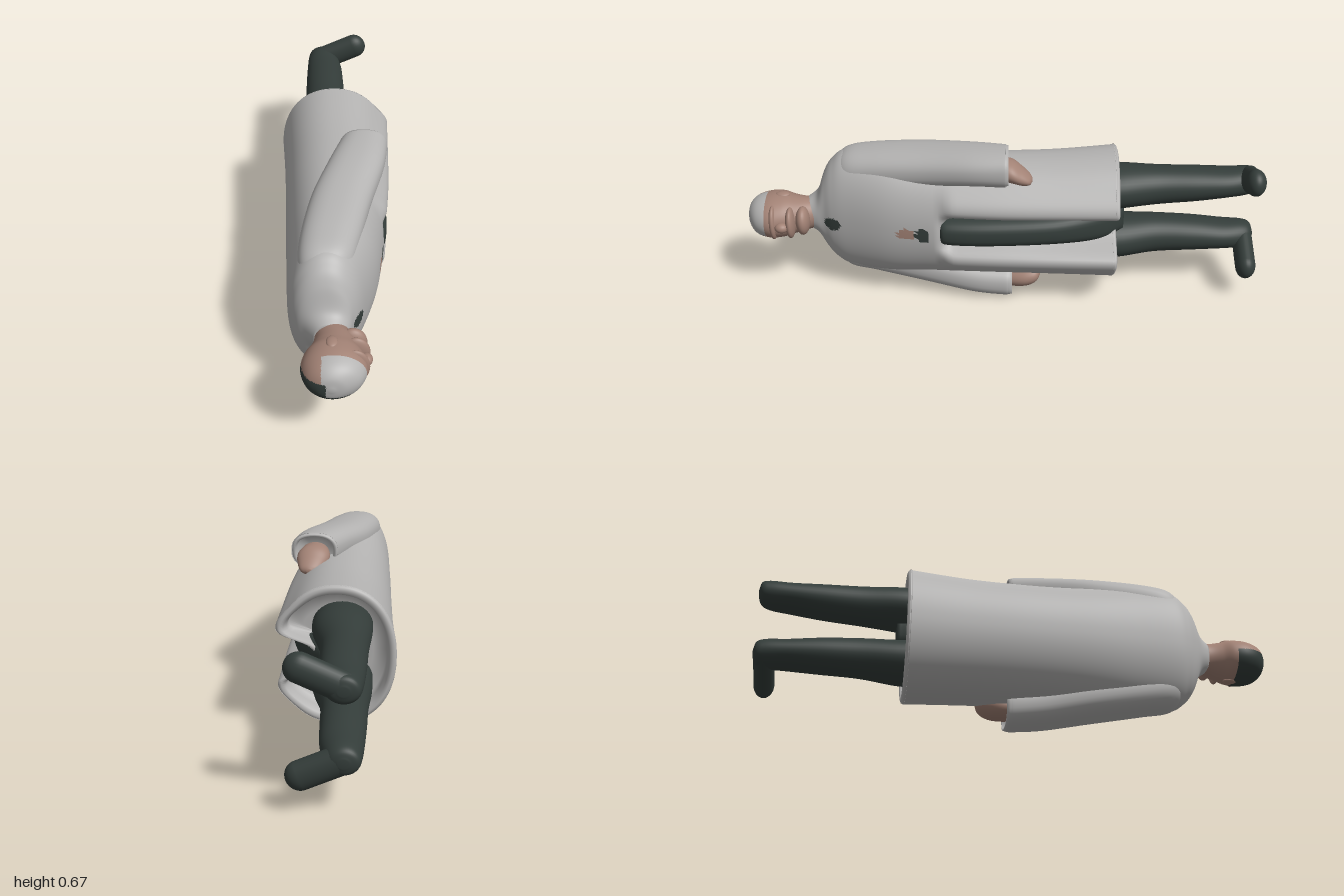
import * as THREE from 'three';

const material = (name, color) => {
  const m = new THREE.MeshStandardMaterial({ color });
  m.name = name;
  return m;
};

// Smooth body lofted through oval sections [z, centreX, centreY, radiusX, radiusY], from high z to low z.
// tail: extra rings [z, scale] after the last section. rule(p) moves a point, paint(c) picks a material index.
function loft(sections, { n = 40, steps = 6, power = 2, tail = [], rule, paint = () => 0 } = {}) {
  const centres = new THREE.CatmullRomCurve3(sections.map(s => new THREE.Vector3(s[1], s[2], s[0])), false, 'catmullrom', 0.5);
  const radii = new THREE.CatmullRomCurve3(sections.map(s => new THREE.Vector3(s[3], s[4], 0)), false, 'catmullrom', 0.5);
  const rings = [];
  const count = (sections.length - 1) * steps;
  for (let i = 0; i <= count; i++) {
    rings.push([centres.getPoint(i / count), radii.getPoint(i / count)]);
  }
  const [endCentre, endRadius] = rings[count];
  for (const [z, k] of tail) {
    rings.push([new THREE.Vector3(endCentre.x, endCentre.y, z), endRadius.clone().multiplyScalar(k)]);
  }

  const points = [];
  const bend = v => Math.sign(v) * Math.pow(Math.abs(v), 2 / power);
  for (const [c, r] of rings) {
    for (let j = 0; j < n; j++) {
      const a = (j / n) * Math.PI * 2;
      const p = new THREE.Vector3(c.x + r.x * bend(Math.cos(a)), c.y + r.y * bend(Math.sin(a)), c.z);
      if (rule) rule(p);
      points.push(p);
    }
  }
  // end caps
  const first = points.push(rings[0][0].clone()) - 1;
  const last = points.push(rings[rings.length - 1][0].clone()) - 1;
  const faces = [];
  const end = (rings.length - 1) * n;
  for (let j = 0; j < n; j++) {
    const k = (j + 1) % n;
    faces.push([first, j, k], [last, end + k, end + j]);
    for (let i = 0; i < rings.length - 1; i++) {
      const a = i * n + j, b = i * n + k;
      faces.push([a, a + n, b], [b, a + n, b + n]);
    }
  }
  // one geometry group per colour
  const buckets = [[], [], []];
  for (const f of faces) {
    const c = new THREE.Vector3();
    f.forEach(i => c.addScaledVector(points[i], 1 / 3));
    buckets[paint(c)].push(...f);
  }
  const g = new THREE.BufferGeometry().setFromPoints(points);
  g.setIndex(buckets.flat());
  let start = 0;
  buckets.forEach((b, i) => {
    if (b.length) g.addGroup(start, b.length, i);
    start += b.length;
  });
  g.computeVertexNormals();
  return g;
}

export function createModel() {
  const model = new THREE.Group();
  const cloth = material('paleGrey', 0xb4b3b2);
  const dark = material('darkGreen', 0x343d3a);
  const skin = material('skin', 0xa28275);

  const add = (name, geometry, mat) => {
    const mesh = new THREE.Mesh(geometry, mat);
    mesh.name = name;
    model.add(mesh);
    return mesh;
  };
  const blob = (name, mat, pos, size, turn = 0) => {
    const mesh = add(name, new THREE.SphereGeometry(1, 28, 20), mat);
    mesh.position.set(...pos);
    mesh.scale.set(...size);
    mesh.rotation.z = turn;
    return mesh;
  };
  const oval = (c, y, z, ry, rz) => ((c.y - y) / ry) ** 2 + ((c.z - z) / rz) ** 2 < 1;

  // long coat with an open front and a hollow hem
  const coat = loft([
    [0.765, -0.015, 0.322, 0.055, 0.058],
    [0.725, -0.025, 0.322, 0.08, 0.09],
    [0.695, -0.035, 0.327, 0.10, 0.165],
    [0.66, -0.035, 0.33, 0.12, 0.215],
    [0.60, -0.03, 0.333, 0.138, 0.25],
    [0.45, -0.01, 0.335, 0.165, 0.258],
    [0.30, -0.002, 0.335, 0.18, 0.25],
    [0.15, 0.003, 0.335, 0.19, 0.245],
    [0.0, 0.005, 0.335, 0.198, 0.245],
    [-0.20, 0.003, 0.335, 0.205, 0.25],
    [-0.41, -0.003, 0.338, 0.213, 0.263],
    [-0.425, -0.004, 0.338, 0.214, 0.266],
  ], {
    n: 160, steps: 8, power: 2.2,
    tail: [[-0.436, 0.98], [-0.44, 0.94], [-0.435, 0.88], [-0.40, 0.84], [-0.36, 0.82], [-0.355, 0.6]],
    rule: p => {
      if (p.x <= 0) return;
      const open = THREE.MathUtils.smoothstep(0.25 - p.z, 0, 0.06);
      const deep = 0.08 + 0.05 * THREE.MathUtils.smoothstep(-p.z, 0, 0.4);
      const d = Math.abs(p.y - 0.33);
      // front edges bulge either side of the opening
      p.x += open * 0.02 * Math.exp(-(((d - 0.125) / 0.05) ** 2));
      p.x = Math.max(Math.min(p.x, 0.02), p.x - open * deep * Math.exp(-((d / 0.07) ** 4)));
    },
    paint: c => {
      if (c.x < 0) return 0;
      if (oval(c, 0.32, 0.66, 0.027, 0.033) || oval(c, 0.328, 0.305, 0.03, 0.028)) return 1;
      return oval(c, 0.33, 0.37, 0.024, 0.035) ? 2 : 0;
    },
  });
  add('coat', coat, [cloth, dark, skin]);

  // dark front panel seen through the open coat
  add('frontPanel', loft([
    [0.24, 0.10, 0.33, 0.07, 0.045],
    [0.21, 0.08, 0.33, 0.112, 0.06],
    [0.05, 0.08, 0.33, 0.117, 0.064],
    [-0.2, 0.06, 0.33, 0.115, 0.066],
    [-0.38, 0.02, 0.33, 0.10, 0.075],
    [-0.47, -0.01, 0.33, 0.06, 0.06],
  ], { power: 2.8 }), dark);

  // sleeves with open cuffs
  const cuff = z => [[z - 0.012, 0.96], [z - 0.012, 0.84], [z + 0.025, 0.78]];
  add('leftSleeve', loft([
    [0.66, -0.04, 0.47, 0.04, 0.05],
    [0.61, -0.035, 0.50, 0.09, 0.082],
    [0.50, -0.02, 0.53, 0.105, 0.078],
    [0.30, 0.02, 0.56, 0.11, 0.074],
    [0.12, 0.075, 0.588, 0.105, 0.07],
    [0.0, 0.105, 0.597, 0.092, 0.072],
    [-0.01, 0.106, 0.598, 0.088, 0.07],
  ], { power: 2.4, tail: cuff(-0.01) }), cloth);
  add('rightSleeve', loft([
    [0.66, -0.04, 0.19, 0.04, 0.05],
    [0.61, -0.035, 0.165, 0.09, 0.082],
    [0.50, -0.03, 0.14, 0.10, 0.078],
    [0.30, 0.0, 0.108, 0.105, 0.074],
    [0.12, 0.035, 0.079, 0.10, 0.07],
    [0.0, 0.05, 0.069, 0.092, 0.069],
    [-0.025, 0.052, 0.068, 0.088, 0.067],
  ], { power: 2.4, tail: cuff(-0.025) }), cloth);

  // hands
  add('leftHand', loft([
    [0.03, 0.105, 0.585, 0.05, 0.04],
    [-0.03, 0.11, 0.58, 0.062, 0.042],
    [-0.07, 0.115, 0.562, 0.052, 0.034],
    [-0.1, 0.12, 0.55, 0.035, 0.02],
    [-0.112, 0.12, 0.547, 0.01, 0.007],
  ]), skin);
  add('rightHand', loft([
    [0.02, 0.06, 0.08, 0.05, 0.04],
    [-0.06, 0.075, 0.09, 0.062, 0.045],
    [-0.105, 0.085, 0.098, 0.055, 0.042],
    [-0.135, 0.09, 0.106, 0.038, 0.03],
    [-0.148, 0.09, 0.11, 0.01, 0.01],
  ]), skin);

  // trouser legs and shoes, mirrored about the body's middle
  for (const [side, s] of [['left', 1], ['right', -1]]) {
    const mid = 0.327;
    const y = d => mid + s * d;
    add(side + 'Leg', loft([
      [-0.33, -0.02, y(0.10), 0.11, 0.09],
      [-0.45, -0.025, y(0.112), 0.107, 0.085],
      [-0.60, -0.04, y(0.11), 0.085, 0.076],
      [-0.75, -0.045, y(0.113), 0.08, 0.068],
      [-0.87, -0.048, y(0.118), 0.075, 0.058],
      [-0.95, -0.055, y(0.122), 0.064, 0.055],
      [-0.985, -0.06, y(0.125), 0.05, 0.044],
      [-0.997, -0.06, y(0.125), 0.018, 0.016],
    ]), dark);
    const shoe = add(side + 'Shoe', new THREE.CapsuleGeometry(0.05, 0.155, 10, 28), dark);
    shoe.position.set(0.012, y(0.157), -0.957);
    shoe.rotation.z = -Math.PI / 2 + s * 0.42;
    shoe.scale.set(1.05, 1, 0.78);
  }

  // head and neck, with pale crown and dark hair
  add('head', loft([
    [1.0, -0.01, 0.312, 0.008, 0.008],
    [0.99, -0.01, 0.312, 0.052, 0.045],
    [0.96, -0.006, 0.312, 0.092, 0.073],
    [0.91, -0.003, 0.314, 0.112, 0.086],
    [0.86, -0.003, 0.316, 0.105, 0.086],
    [0.82, 0.0, 0.318, 0.085, 0.077],
    [0.78, 0.0, 0.32, 0.072, 0.068],
    [0.74, -0.01, 0.32, 0.062, 0.062],
    [0.68, -0.02, 0.32, 0.06, 0.06],
  ], {
    n: 96, steps: 8,
    paint: c => {
      if (c.z < 0.87) return 2;
      const low = c.x < -0.03 ? 0.333 : 0.27;
      if (c.y < low && c.x < 0.05) return 1;
      return c.x > -0.045 && c.y > 0.262 && c.z > 0.925 ? 0 : 2;
    },
  }), [cloth, dark, skin]);

  // face
  blob('brow', skin, [0.065, 0.317, 0.892], [0.052, 0.072, 0.018]);
  blob('nose', skin, [0.105, 0.315, 0.855], [0.022, 0.02, 0.026]);
  blob('cheeks', skin, [0.07, 0.318, 0.825], [0.05, 0.064, 0.02]);
  blob('chin', skin, [0.06, 0.322, 0.778], [0.05, 0.058, 0.028]);
  for (const s of [1, -1]) blob('ear', skin, [-0.01, 0.316 + s * 0.083, 0.86], [0.02, 0.01, 0.028]);

  return model;
}
